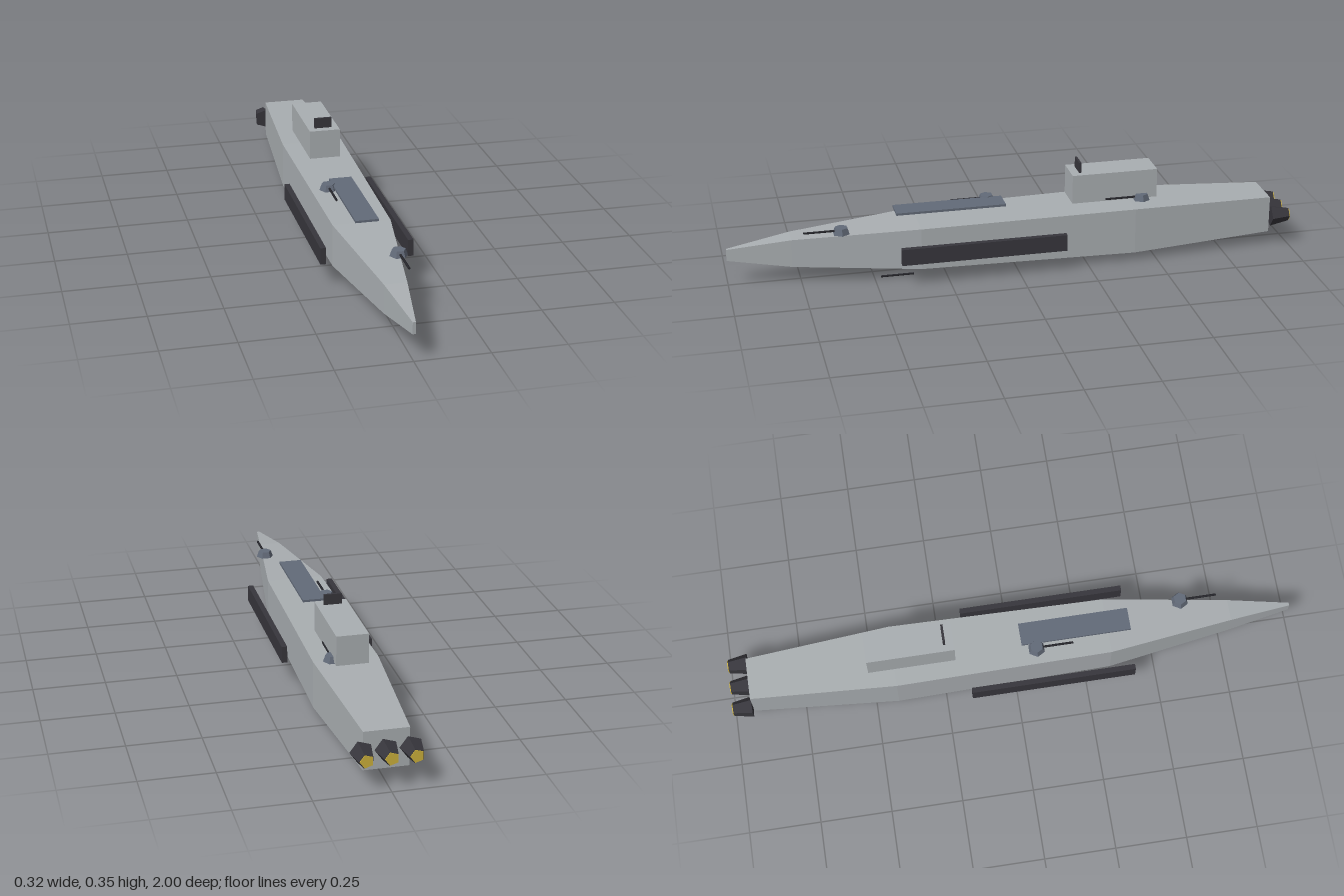
import * as THREE from 'three';

const mat = (name, color) => {
  const m = new THREE.MeshStandardMaterial({ color, flatShading: true });
  m.name = name;
  return m;
};

// Hull: rectangular sections [z, half width, bottom, top], nose to stern
function hullGeometry() {
  const sections = [
    [1, 0.005, 0.093, 0.134],
    [0.78, 0.038, 0.063, 0.163],
    [0.34, 0.1, 0.038, 0.187],
    [-0.42, 0.111, 0.03, 0.195],
    [-0.93, 0.075, 0.048, 0.18],
  ];
  const rings = sections.map(([z, w, b, t]) => [[w, b, z], [w, t, z], [-w, t, z], [-w, b, z]]);
  const pos = [];
  const quad = (a, b, c, d) => pos.push(...a, ...b, ...c, ...a, ...c, ...d);
  for (let i = 0; i < rings.length - 1; i++) {
    const f = rings[i], r = rings[i + 1];
    for (let k = 0; k < 4; k++) {
      const n = (k + 1) % 4;
      quad(f[k], r[k], r[n], f[n]);
    }
  }
  const nose = rings[0], stern = rings[rings.length - 1];
  quad(nose[0], nose[1], nose[2], nose[3]);
  quad(stern[3], stern[2], stern[1], stern[0]);
  const g = new THREE.BufferGeometry();
  g.setAttribute('position', new THREE.Float32BufferAttribute(pos, 3));
  g.computeVertexNormals();
  return g;
}

export function createModel() {
  const group = new THREE.Group();
  const hullGrey = mat('hull grey', 0xa9aeb1);
  const slate = mat('slate', 0x626a78);
  const charcoal = mat('charcoal', 0x37363c);
  const gunBlack = mat('gun black', 0x25252a);
  const glow = mat('engine yellow', 0xccb03c);

  const add = (name, geometry, material, x, y, z, parent = group) => {
    const m = new THREE.Mesh(geometry, material);
    m.name = name;
    m.position.set(x, y, z);
    parent.add(m);
    return m;
  };
  const box = (w, h, d) => new THREE.BoxGeometry(w, h, d);
  const rod = (length) => new THREE.CylinderGeometry(0.004, 0.004, length, 6).rotateX(Math.PI / 2);

  add('hull', hullGeometry(), hullGrey, 0, 0, 0);

  // Superstructure with its sensor panel
  add('bridge', box(0.11, 0.104, 0.306), hullGrey, 0, 0.266, -0.358);
  add('sensorPanel', box(0.062, 0.037, 0.008), charcoal, 0, 0.3365, -0.238);

  // Deck plate and side armour
  add('deckPlate', box(0.08, 0.008, 0.386), slate, 0, 0.224, 0.223);
  for (const s of [-1, 1]) add('sidePanel', box(0.019, 0.059, 0.58), charcoal, s * 0.15, 0.113, 0.128);

  // Six-sided gun turrets facing forward
  for (const [x, y, z] of [[0.055, 0.191, 0.61], [-0.055, 0.22, 0.08], [0.055, 0.22, -0.455]]) {
    const turret = new THREE.Group();
    turret.name = 'turret';
    turret.position.set(x, y, z);
    group.add(turret);
    add('turretBase', new THREE.CylinderGeometry(0.023, 0.031, 0.022, 6).rotateY(Math.PI / 2), slate, 0, 0, 0, turret);
    add('turretBarrel', rod(0.125), gunBlack, 0, 0, 0.067, turret);
  }

  // Rods under the keel
  add('bellyRodFront', rod(0.115), gunBlack, 0.055, 0.004, 0.42);
  add('bellyRodRear', rod(0.115), gunBlack, -0.055, 0.004, -0.108);

  // Three five-sided engine nozzles with glowing ends
  const ring = (r1, r2, h) => new THREE.CylinderGeometry(r1, r2, h, 5).rotateY(Math.PI / 2).rotateX(-Math.PI / 2);
  for (const x of [-0.08, 0, 0.08]) {
    add('engineNozzle', ring(0.025, 0.038, 0.067), charcoal, x, 0.113, -0.9635);
    add('engineGlow', ring(0.023, 0.023, 0.006), glow, x, 0.113, -0.997);
  }
  return group;
}
